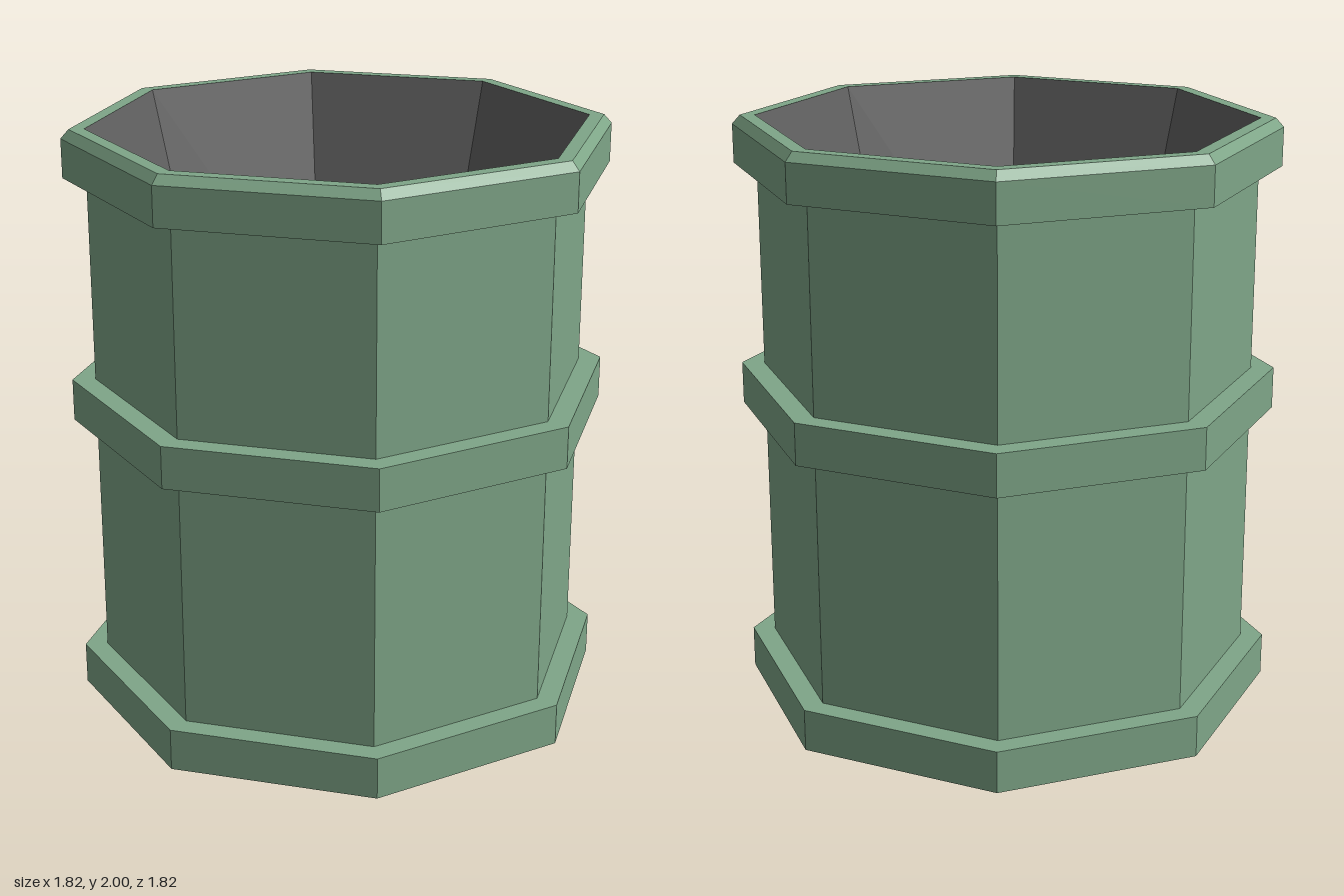
import * as THREE from 'three';

const R_BODY = 0.835, R_HOOP = 0.912, R_BEVEL = 0.885, R_FLOOR = 0.595;
const FLOOR_Y = 1.08;

export function createModel() {
  const group = new THREE.Group();
  const green = new THREE.MeshStandardMaterial({ color: 0x7fa688, flatShading: true });
  const dark = new THREE.MeshStandardMaterial({ color: 0x626262, flatShading: true });

  // Eight-sided turned part from [radius, height] pairs, corners on the axes
  const turned = (name, profile, material) => {
    const points = profile.map(([r, y]) => new THREE.Vector2(r, y));
    const mesh = new THREE.Mesh(new THREE.LatheGeometry(points, 8), material);
    mesh.name = name;
    group.add(mesh);
  };

  // Base hoop with the closed underside
  turned('baseHoop', [[0, 0], [R_HOOP, 0], [R_HOOP, 0.145], [R_BODY, 0.145]], green);

  // Straight walls between the hoops
  turned('lowerWall', [[R_BODY, 0.145], [R_BODY, 1.0]], green);
  turned('upperWall', [[R_BODY, 1.143], [R_BODY, 1.84]], green);

  // Middle hoop
  turned('middleHoop', [[R_BODY, 1.0], [R_HOOP, 1.0], [R_HOOP, 1.143], [R_BODY, 1.143]], green);

  // Rim hoop with a bevelled top edge
  turned('rimHoop', [[R_BODY, 1.84], [R_HOOP, 1.84], [R_HOOP, 1.97], [R_BEVEL, 2], [R_BODY, 2]], green);

  // Tapered inside and its floor
  turned('interior', [[R_BODY, 2], [R_FLOOR, FLOOR_Y], [0, FLOOR_Y]], dark);

  return group;
}
